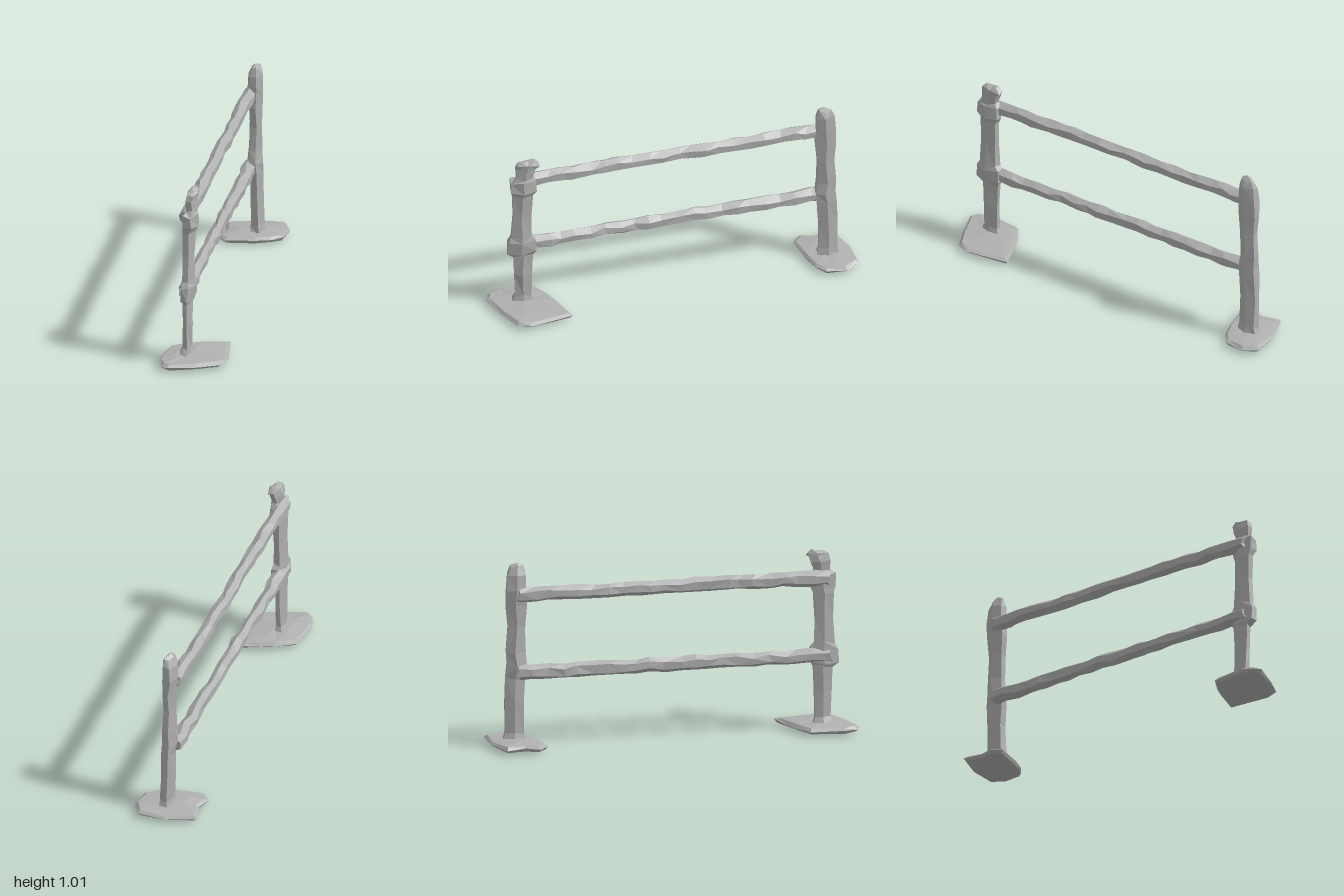
import * as THREE from 'three';

let seed = 11;
const rand = () => {
  seed = (seed * 16807) % 2147483647;
  return seed / 2147483647 * 2 - 1;
};

const wood = new THREE.MeshStandardMaterial({ color: 0xb0b0b0, flatShading: true });
wood.name = 'weatheredGrey';

// Skins a list of rings and closes both ends with a fan to a tip point
function loft(name, rings, startTip, endTip) {
  const n = rings[0].length;
  const tris = [];
  for (let i = 0; i < n; i++) {
    const j = (i + 1) % n;
    for (let r = 0; r < rings.length - 1; r++) {
      const a = rings[r], b = rings[r + 1];
      if ((i + r) % 2) tris.push([a[i], a[j], b[j]], [a[i], b[j], b[i]]);
      else tris.push([a[i], a[j], b[i]], [a[j], b[j], b[i]]);
    }
    const last = rings[rings.length - 1];
    tris.push([startTip, rings[0][j], rings[0][i]], [endTip, last[i], last[j]]);
  }
  // Turn every face outwards
  const cross = new THREE.Vector3();
  const volume = tris.reduce((s, [a, b, c]) => s + a.dot(cross.crossVectors(b, c)), 0);
  if (volume < 0) tris.forEach((t) => t.reverse());
  const geo = new THREE.BufferGeometry().setFromPoints(tris.flat());
  geo.computeVertexNormals();
  const mesh = new THREE.Mesh(geo, wood);
  mesh.name = name;
  return mesh;
}

const V = (x, y, z) => new THREE.Vector3(x, y, z);

// Hewn post: each level is [y, xMin, xMax, zMin, zMax]
function post(name, levels, tip) {
  const sides = 6;
  const rings = levels.map(([y, x0, x1, z0, z1]) =>
    Array.from({ length: sides }, (_, i) => {
      const a = (i / sides) * Math.PI * 2;
      return V(
        (x0 + x1) / 2 + Math.cos(a) * (x1 - x0) / 2 + rand() * 0.004,
        y + rand() * 0.01,
        (z0 + z1) / 2 + Math.sin(a) / 0.866 * (z1 - z0) / 2 + rand() * 0.004);
    }));
  const [y, x0, x1, z0, z1] = levels[0];
  return loft(name, rings, V((x0 + x1) / 2, y, (z0 + z1) / 2), V(...tip));
}

// Knobbly rail running from the front post to the rear post
function rail(name, y) {
  const count = 22, sides = 6, rings = [];
  const zFront = 0.84, zRear = -0.83;
  const axis = (z) => -0.03 + 0.13 * z;
  for (let k = 0; k < count; k++) {
    const t = k / (count - 1);
    const z = zFront + (zRear - zFront) * t + (k > 0 && k < count - 1 ? rand() * 0.022 : 0);
    const cx = axis(z) + rand() * 0.006, cy = y + rand() * 0.005;
    const flare = 1 + 0.16 * Math.pow(Math.abs(2 * t - 1), 8);
    const rx = (0.031 + rand() * 0.004) * flare, ry = (0.038 + rand() * 0.003) * flare;
    rings.push(Array.from({ length: sides }, (_, i) => {
      const a = ((i + 0.5) / sides) * Math.PI * 2 + rand() * 0.2;
      return V(cx + Math.cos(a) * rx * 1.1, cy + Math.sin(a) * ry * 1.03, z + rand() * 0.014);
    }));
  }
  return loft(name, rings, V(axis(zFront), y, zFront), V(axis(zRear), y, zRear));
}

// Flat foot stone: an outline of [x, z] swollen at mid height
function footStone(name, outline, [cx, cz]) {
  const rings = [[0.72, 0.006], [0.93, 0.013], [1, 0.027], [0.9, 0.041], [0.5, 0.049]].map(([s, y]) =>
    outline.map(([x, z]) => V(cx + (x - cx) * s, y + rand() * 0.004, cz + (z - cz) * s)));
  return loft(name, rings, V(cx, 0, cz), V(cx, 0.055, cz));
}

export function createModel() {
  seed = 11;
  const fence = new THREE.Group();
  fence.name = 'fence';

  // Front post, with swollen joints where the rails meet it
  fence.add(post('frontPost', [
    [0.03, 0.025, 0.115, 0.745, 0.87],
    [0.08, 0.052, 0.102, 0.76, 0.85],
    [0.22, 0.05, 0.105, 0.762, 0.852],
    [0.35, 0.05, 0.1, 0.755, 0.855],
    [0.375, 0.048, 0.122, 0.735, 0.893],
    [0.45, 0.05, 0.126, 0.74, 0.885],
    [0.485, 0.052, 0.12, 0.76, 0.868],
    [0.62, 0.055, 0.118, 0.762, 0.862],
    [0.755, 0.055, 0.122, 0.757, 0.865],
    [0.79, 0.052, 0.14, 0.74, 0.873],
    [0.855, 0.054, 0.136, 0.738, 0.875],
    [0.88, 0.07, 0.128, 0.755, 0.84],
    [0.93, 0.067, 0.128, 0.742, 0.845],
    [0.965, 0.068, 0.13, 0.722, 0.838],
    [0.98, 0.075, 0.125, 0.75, 0.81],
  ], [0.095, 0.983, 0.78]));

  // Rear post, coming to a blunt point
  fence.add(post('rearPost', [
    [0.03, -0.15, -0.055, -0.91, -0.785],
    [0.08, -0.142, -0.067, -0.898, -0.798],
    [0.25, -0.143, -0.07, -0.9, -0.8],
    [0.38, -0.145, -0.072, -0.895, -0.79],
    [0.45, -0.155, -0.072, -0.89, -0.783],
    [0.52, -0.15, -0.075, -0.895, -0.79],
    [0.66, -0.147, -0.075, -0.885, -0.792],
    [0.77, -0.145, -0.075, -0.893, -0.785],
    [0.86, -0.158, -0.07, -0.893, -0.783],
    [0.945, -0.148, -0.07, -0.887, -0.787],
    [0.985, -0.13, -0.088, -0.868, -0.8],
  ], [-0.11, 1.008, -0.83]));

  fence.add(rail('upperRail', 0.838), rail('lowerRail', 0.415));

  fence.add(footStone('frontFootStone', [
    [0.235, 0.56], [0.3, 0.79], [0.28, 0.86], [0.17, 0.93], [0.03, 1.0],
    [-0.01, 0.985], [-0.05, 0.92], [-0.05, 0.73], [0.04, 0.66], [0.11, 0.62],
  ], [0.1, 0.8]));
  fence.add(footStone('rearFootStone', [
    [-0.3, -0.9], [-0.15, -0.975], [0.0, -1.0], [0.05, -0.93], [0.05, -0.82],
    [0.0, -0.77], [-0.08, -0.73], [-0.23, -0.68], [-0.28, -0.72], [-0.265, -0.8],
  ], [-0.11, -0.85]));

  return fence;
}
